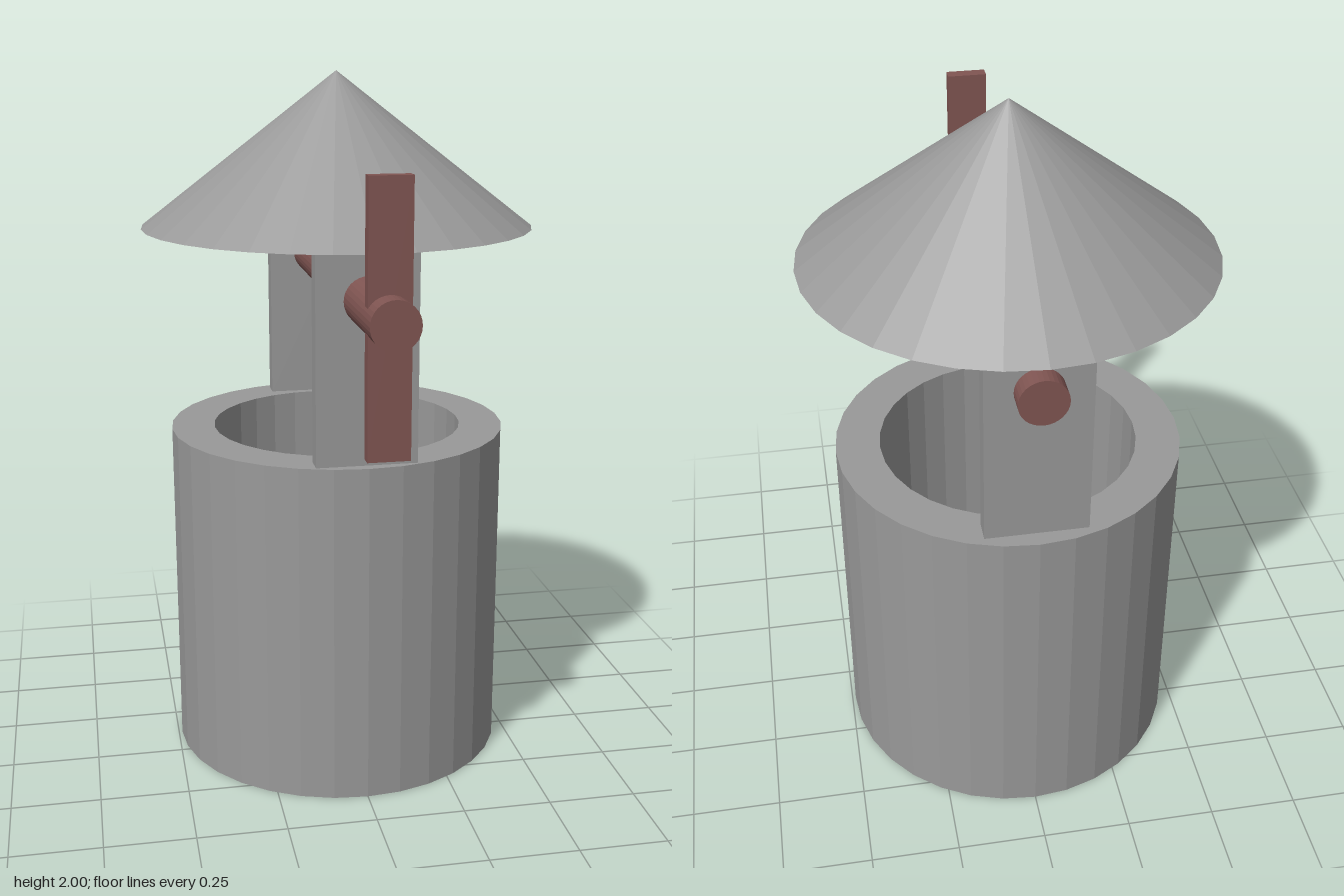
import * as THREE from 'three';

const grey = new THREE.MeshStandardMaterial({ color: 0x999999, flatShading: true });
const wood = new THREE.MeshStandardMaterial({ color: 0x805552, flatShading: true });
const SIDES = 32;
const CENTRE_Z = -0.117;

export function createModel() {
  const model = new THREE.Group();
  model.name = 'well';

  const add = (name, geometry, material, x, y, z) => {
    const mesh = new THREE.Mesh(geometry, material);
    mesh.name = name;
    mesh.position.set(x, y, z);
    model.add(mesh);
    return mesh;
  };

  // Hollow wall, open through the bottom: closed ring profile
  const outer = 0.49, inner = 0.365, height = 0.98;
  const profile = [
    [inner, 0], [outer, 0], [outer, height], [inner, height], [inner, 0],
  ].map(([r, y]) => new THREE.Vector2(r, y));
  add('wall', new THREE.LatheGeometry(profile, SIDES), grey, 0, 0, CENTRE_Z);

  // Two flat posts standing on the rim
  const postTop = 1.567;
  for (const [name, z] of [['frontPost', 0.313], ['backPost', -0.531]]) {
    add(name, new THREE.BoxGeometry(0.28, postTop - height, 0.057), grey,
      0, (postTop + height) / 2, z);
  }

  // Conical roof
  const roofHeight = 2 - postTop;
  add('roof', new THREE.ConeGeometry(0.56, roofHeight, SIDES), grey,
    0, postTop + roofHeight / 2, CENTRE_Z);

  // Axle through both posts
  const axle = add('axle', new THREE.CylinderGeometry(0.065, 0.065, 1.293, SIDES), wood, 0, 1.43, 0.031);
  axle.rotation.x = Math.PI / 2;

  // Crank bar across the front end of the axle
  add('crankBar', new THREE.BoxGeometry(0.112, 0.71, 0.037), wood, 0, 1.427, 0.593);

  return model;
}
